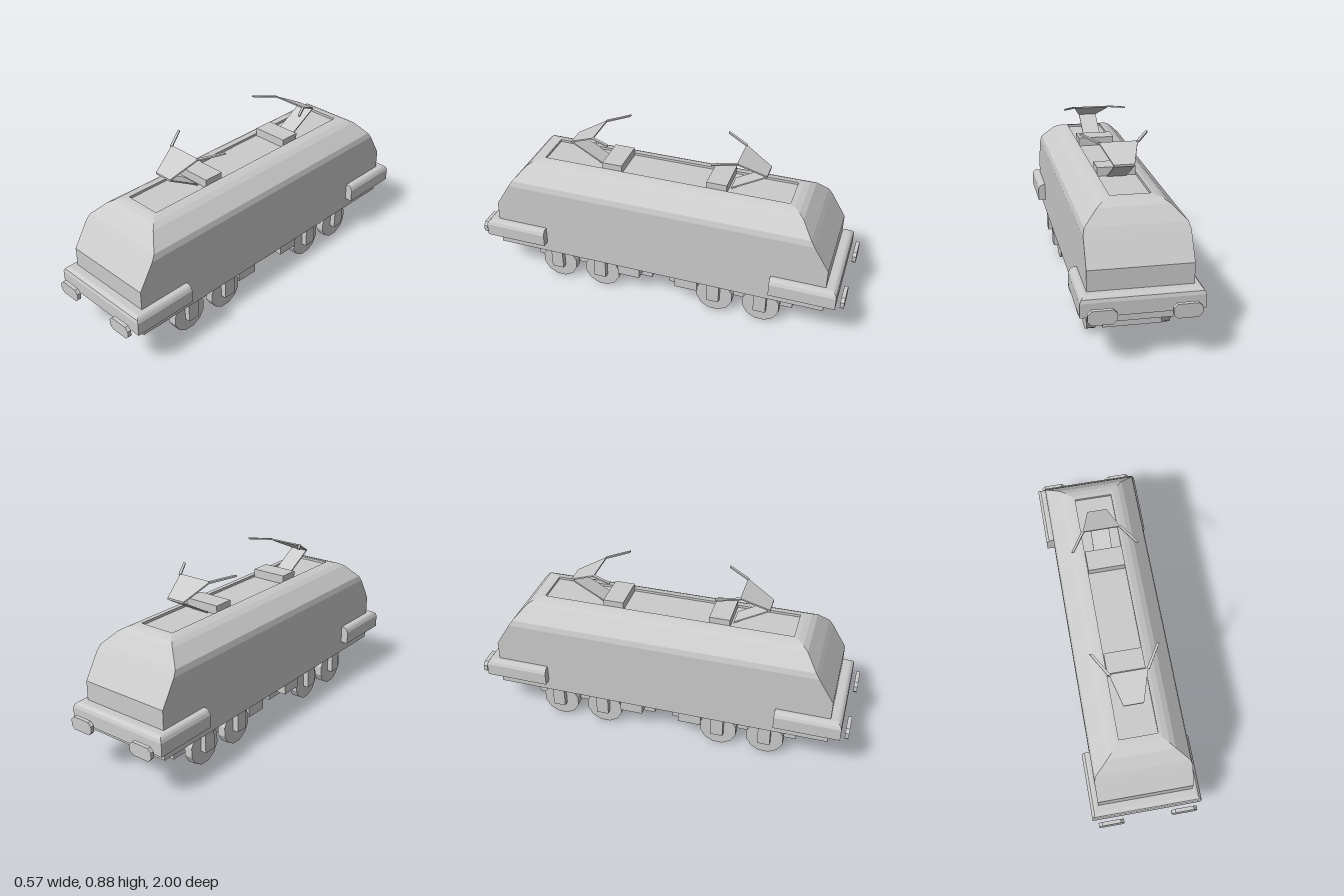
import * as THREE from 'three';

const material = new THREE.MeshStandardMaterial({ color: 0xcccccc, flatShading: true });

function add(parent, name, geometry, x = 0, y = 0, z = 0) {
  const mesh = new THREE.Mesh(geometry, material);
  mesh.name = name;
  mesh.position.set(x, y, z);
  parent.add(mesh);
  return mesh;
}

// Box given by its ranges on each axis
function box(parent, name, [x0, x1], [y0, y1], [z0, z1]) {
  return add(parent, name, new THREE.BoxGeometry(x1 - x0, y1 - y0, z1 - z0),
    (x0 + x1) / 2, (y0 + y1) / 2, (z0 + z1) / 2);
}

// Joins rings of corners (counter-clockwise about the travel direction) and caps both ends
function loft(rings) {
  const out = [];
  const tri = (a, b, c) => out.push(...a, ...b, ...c);
  const n = rings[0].length;
  for (let r = 0; r + 1 < rings.length; r++) {
    const a = rings[r], b = rings[r + 1];
    for (let i = 0; i < n; i++) {
      const j = (i + 1) % n;
      tri(a[i], a[j], b[j]);
      tri(a[i], b[j], b[i]);
    }
  }
  const first = rings[0], last = rings[rings.length - 1];
  for (let i = 1; i + 1 < n; i++) {
    tri(first[0], first[i + 1], first[i]);
    tri(last[0], last[i], last[i + 1]);
  }
  const geometry = new THREE.BufferGeometry();
  geometry.setAttribute('position', new THREE.Float32BufferAttribute(out, 3));
  geometry.computeVertexNormals();
  return geometry;
}

// Level rectangle for upward lofts
const level = (y, hx, z0, z1) => [[-hx, y, z1], [hx, y, z1], [hx, y, z0], [-hx, y, z0]];

// Thin upright section for sheets and strips running along +z
function strip(x, y, z, w, t = 0.004) {
  return [[x - w, y - t, z], [x + w, y - t, z], [x + w, y + t, z], [x - w, y + t, z]];
}

// Elongated octagon for the buffer plates
function octagon(x, y, z, w, h, c) {
  return [[-w + c, -h], [w - c, -h], [w, -h + c], [w, h - c], [w - c, h], [-w + c, h], [-w, h - c], [-w, -h + c]]
    .map(([px, py]) => [x + px, y + py, z]);
}

function createPantograph() {
  const group = new THREE.Group();
  group.name = 'pantograph';
  add(group, 'lowerArm', loft([strip(0, 0.685, 0.345, 0.048), strip(0, 0.788, 0.525, 0.048)]));
  add(group, 'upperArm', loft([strip(0, 0.862, 0.38, 0.095), strip(0, 0.79, 0.525, 0.05)]));
  for (const s of [-1, 1]) {
    add(group, 'contactHorn', loft([strip(s * 0.163, 0.879, 0.27, 0.007), strip(s * 0.093, 0.862, 0.385, 0.008)]));
  }
  return group;
}

function createBogie() {
  const group = new THREE.Group();
  group.name = 'bogie';
  box(group, 'bogieFrame', [-0.142, 0.142], [0.068, 0.187], [0.05, 0.73]);

  // Twelve-sided wheel standing on a flat
  const wheel = new THREE.CylinderGeometry(0.1, 0.1, 0.045, 12);
  wheel.rotateY(Math.PI / 12);
  wheel.rotateZ(Math.PI / 2);
  const side = (s, a, b) => (s > 0 ? [a, b] : [-b, -a]);
  for (const s of [-1, 1]) {
    for (const z of [0.32, 0.573]) {
      add(group, 'wheel', wheel, s * 0.1825, 0.0966, z);
      box(group, 'axleBox', side(s, 0.209, 0.239), [0.08, 0.187], [z - 0.033, z + 0.033]);
    }
    box(group, 'sideBox', side(s, 0.14, 0.212), [0.102, 0.176], [0.102, 0.225]);
  }
  return group;
}

// One half of the equipment: everything attached at an end
function createEnd() {
  const group = new THREE.Group();
  // Wrap-around bumper with a rounded top edge
  add(group, 'bumper', loft([
    [0.245, 0.285, 0.96], [0.312, 0.285, 0.96], [0.328, 0.278, 0.955], [0.337, 0.27, 0.945], [0.34, 0.258, 0.935],
  ].map(([y, hx, z]) => level(y, hx, 0.62, z))));
  for (const s of [-1, 1]) {
    add(group, 'buffer', loft([
      octagon(s * 0.191, 0.259, 0.98, 0.066, 0.034, 0.018),
      octagon(s * 0.191, 0.259, 1.0, 0.066, 0.034, 0.018),
    ]));
  }
  box(group, 'roofBox', [-0.096, 0.096], [0.675, 0.727], [0.228, 0.335]);
  group.add(createBogie(), createPantograph());
  return group;
}

export function createModel() {
  const model = new THREE.Group();
  model.name = 'locomotive';

  // Body shell: height, half width, half length; the last rings sink the roof recess
  add(model, 'body', loft([
    [0.185, 0.245, 0.9], [0.44, 0.245, 0.9], [0.57, 0.245, 0.82], [0.6, 0.237, 0.8],
    [0.667, 0.17, 0.742], [0.683, 0.143, 0.715], [0.692, 0.115, 0.685], [0.695, 0.097, 0.66],
    [0.682, 0.097, 0.66],
  ].map(([y, hx, hz]) => level(y, hx, -hz, hz))));

  const front = createEnd();
  front.name = 'frontEnd';
  const rear = createEnd();
  rear.name = 'rearEnd';
  rear.rotation.y = Math.PI;
  model.add(front, rear);
  return model;
}
